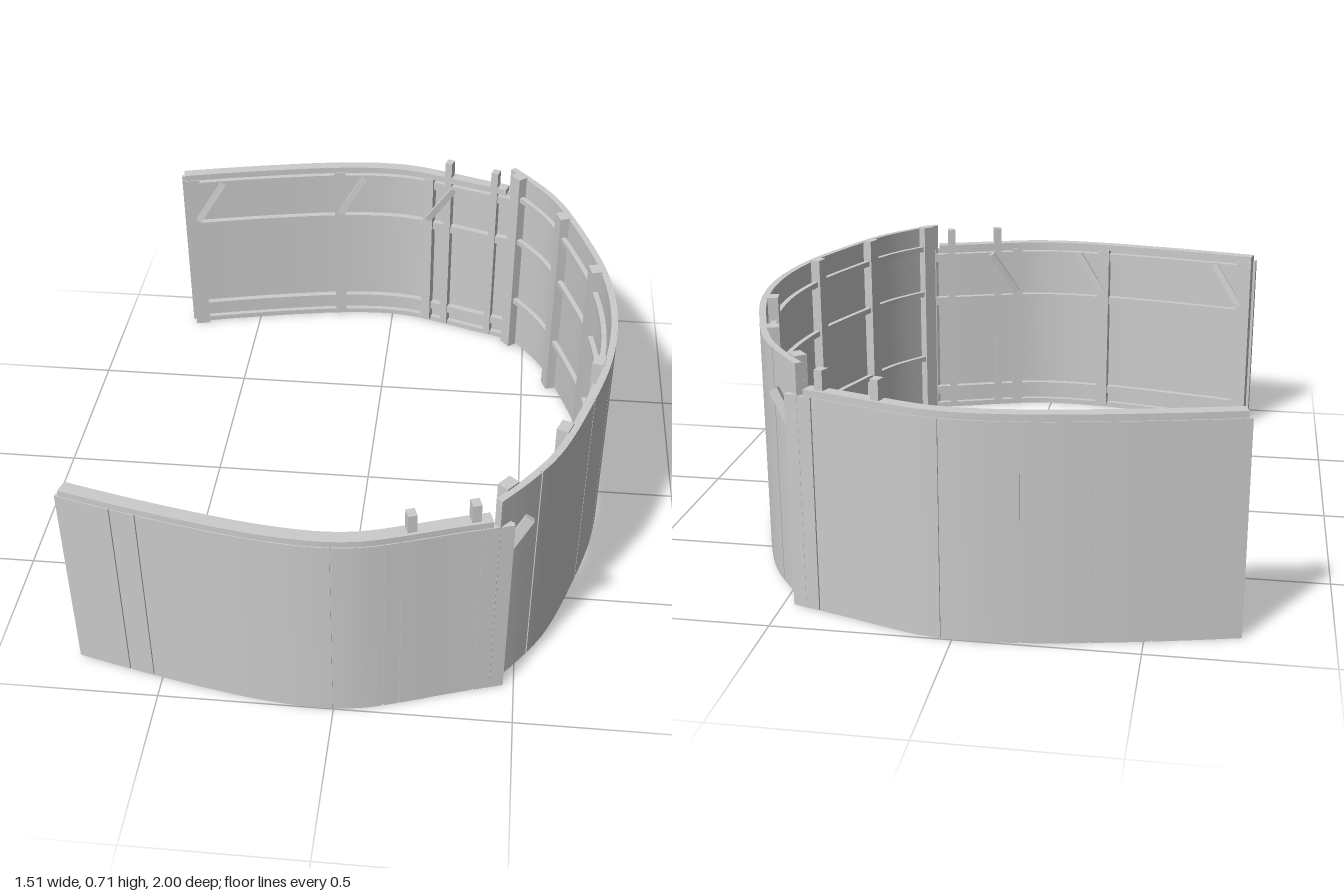
import * as THREE from 'three';
import { toCreasedNormals } from 'three/addons/utils/BufferGeometryUtils.js';

const timber = new THREE.MeshStandardMaterial({ color: 0xcccccc });
timber.name = 'light grey timber';

const curveOf = (pts) => new THREE.CatmullRomCurve3(pts.map(([x, z]) => new THREE.Vector3(x, 0, z)));

// Point and outward normal of a plan curve where its axis coordinate equals v
function frameAt(curve, axis, v) {
  let a = 0, b = 1;
  for (let i = 0; i < 30; i++) {
    const m = (a + b) / 2;
    if (curve.getPoint(m)[axis] < v) a = m; else b = m;
  }
  const p = curve.getPoint(a), t = curve.getTangent(a);
  const n = new THREE.Vector3(t.z, 0, -t.x);
  if (n.dot(p) < 0) n.negate();
  return { p, t, n };
}

// Curved board following the plan curve; d0 and d1 are depths inward from it
function board(group, name, curve, axis, v0, v1, d0, d1, y0, y1) {
  const outer = [], inner = [];
  const steps = Math.max(3, Math.ceil((v1 - v0) / 0.035));
  for (let i = 0; i <= steps; i++) {
    const { p, n } = frameAt(curve, axis, v0 + (v1 - v0) * i / steps);
    outer.push(new THREE.Vector2(p.x - n.x * d0, -(p.z - n.z * d0)));
    inner.unshift(new THREE.Vector2(p.x - n.x * d1, -(p.z - n.z * d1)));
  }
  const geo = new THREE.ExtrudeGeometry(new THREE.Shape([...outer, ...inner]), { depth: y1 - y0, bevelEnabled: false });
  geo.rotateX(-Math.PI / 2).translate(0, y0, 0);
  const mesh = new THREE.Mesh(toCreasedNormals(geo, 0.5), timber);
  mesh.name = name;
  group.add(mesh);
}

// Skin: continuous backing with outer panels separated by narrow grooves
function skin(group, curve, axis, v0, v1, seams, depth, y0, y1) {
  board(group, 'backing', curve, axis, v0, v1, 0.005, depth, y0, y1);
  const cuts = [v0, ...seams, v1];
  for (let i = 0; i < cuts.length - 1; i++) {
    const a = cuts[i] + (i ? 0.002 : 0);
    const b = cuts[i + 1] - (i < cuts.length - 2 ? 0.002 : 0);
    board(group, 'outerPanel', curve, axis, a, b, 0, 0.005, y0, y1);
  }
}

// Straight post standing against the inside of the wall
function post(group, name, curve, axis, v, width, d0, d1, y0, y1) {
  const { p, t, n } = frameAt(curve, axis, v);
  const mesh = new THREE.Mesh(new THREE.BoxGeometry(width, y1 - y0, d1 - d0), timber);
  mesh.position.copy(p).addScaledVector(n, -(d0 + d1) / 2).setY((y0 + y1) / 2);
  mesh.rotation.y = Math.atan2(-t.z, t.x);
  mesh.name = name;
  group.add(mesh);
}

// Square stick between two points
function stick(group, name, a, b, w, d) {
  const mesh = new THREE.Mesh(new THREE.BoxGeometry(w, a.distanceTo(b), d), timber);
  mesh.position.copy(a).add(b).multiplyScalar(0.5);
  mesh.quaternion.setFromUnitVectors(new THREE.Vector3(0, 1, 0), b.clone().sub(a).normalize());
  mesh.name = name;
  group.add(mesh);
}

function createWing(side, seams) {
  const g = new THREE.Group();
  g.name = side > 0 ? 'frontWing' : 'backWing';
  const c = curveOf([[-0.76, 0.868], [-0.6, 0.908], [-0.4, 0.952], [-0.2, 0.987], [-0.03, 0.999],
    [0.08, 0.988], [0.2, 0.953], [0.32, 0.912], [0.472, 0.865]].map(([x, z]) => [x, z * side]));
  skin(g, c, 'x', -0.755, 0.47, seams, 0.014, 0, 0.615);

  // Cap, sill and inner rails
  board(g, 'topCap', c, 'x', -0.745, 0.415, 0.003, 0.042, 0.613, 0.634);
  board(g, 'bottomSill', c, 'x', -0.745, 0.45, 0.014, 0.032, 0.0, 0.018);
  for (const y of [0.07, 0.42, 0.585])
    board(g, 'innerRail', c, 'x', -0.735, 0.43, 0.014, 0.036, y - 0.014, y + 0.014);

  // Posts, two of them rising above the cap
  post(g, 'endPost', c, 'x', -0.722, 0.05, 0.01, 0.045, 0, 0.614);
  post(g, 'middlePost', c, 'x', -0.2, 0.04, 0.014, 0.046, 0.01, 0.614);
  post(g, 'innerPost', c, 'x', 0.14, 0.035, 0.014, 0.046, 0.01, 0.614);
  for (const x of [0.21, 0.373]) post(g, 'tallPost', c, 'x', x, 0.025, 0.012, 0.042, 0.01, 0.69);
  post(g, 'jointPost', c, 'x', 0.448, 0.035, 0.012, 0.045, 0, 0.614);

  // Diagonal braces leaning from the posts to the cap
  for (const x of [-0.71, -0.2, 0.14]) {
    const on = (v, y) => {
      const { p, n } = frameAt(c, 'x', v);
      return p.clone().addScaledVector(n, -0.045).setY(y);
    };
    stick(g, 'diagonalBrace', on(x, 0.45), on(x + 0.095, 0.595), 0.022, 0.014);
  }

  // Short strut sticking out beyond the corner
  stick(g, 'cornerStrut', new THREE.Vector3(0.455, 0.52, 0.848 * side),
    new THREE.Vector3(0.508, 0.615, 0.832 * side), 0.026, 0.018);
  return g;
}

function createCurvedWall() {
  const g = new THREE.Group();
  g.name = 'curvedWall';
  const half = [[0.428, 0.882], [0.5, 0.795], [0.582, 0.672], [0.669, 0.45], [0.732, 0.23]];
  const c = curveOf([...half.map(([x, z]) => [x, -z]), [0.755, 0], ...half.reverse()]);
  skin(g, c, 'z', -0.878, 0.878, [-0.75, -0.425, -0.23, -0.1, 0.1, 0.23, 0.425, 0.75], 0.02, 0.015, 0.704);

  // Slim horizontal rails
  for (const y of [0.21, 0.46, 0.63])
    board(g, 'wallRail', c, 'z', -0.85, 0.85, 0.028, 0.044, y - 0.009, y + 0.009);

  // Uprights
  for (const z of [0.25, 0.57, 0.83])
    for (const s of [-1, 1])
      post(g, 'wallPost', c, 'z', z * s, 0.046, 0.018, 0.052, 0.01, 0.71);
  return g;
}

export function createModel() {
  const model = new THREE.Group();
  model.name = 'curvedPalisade';
  model.add(createWing(1, [-0.598, -0.525, 0, 0.137, 0.18, 0.385]));
  model.add(createWing(-1, [-0.52, -0.36, -0.18, 0.03, 0.39]));
  model.add(createCurvedWall());
  return model;
}
